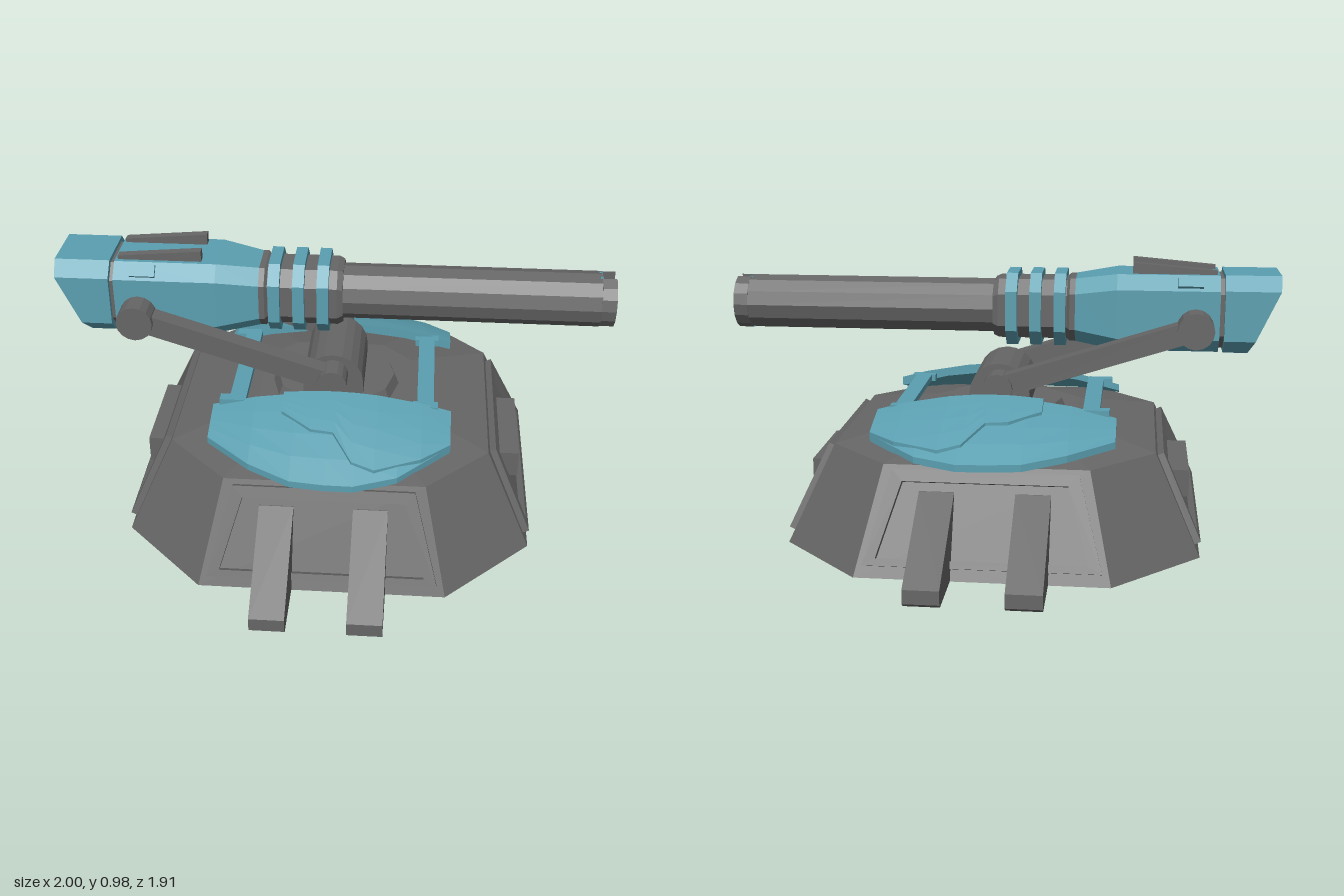
import * as THREE from 'three';

const grey = new THREE.MeshStandardMaterial({ color: 0x666666, flatShading: true });
const teal = new THREE.MeshStandardMaterial({ color: 0x5b9fb0, flatShading: true });

function add(parent, name, geometry, material, x = 0, y = 0, z = 0) {
  const mesh = new THREE.Mesh(geometry, material);
  mesh.name = name;
  mesh.position.set(x, y, z);
  parent.add(mesh);
  return mesh;
}

// Skin over a list of closed sections (each a loop of [x, y, z]), capped at both ends
function loft(sections) {
  const out = [];
  const tri = (a, b, c) => out.push(...a, ...b, ...c);
  const n = sections[0].length;
  for (let i = 0; i < sections.length - 1; i++) {
    for (let j = 0; j < n; j++) {
      const k = (j + 1) % n, p = sections[i], q = sections[i + 1];
      tri(p[j], p[k], q[k]);
      tri(p[j], q[k], q[j]);
    }
  }
  const first = sections[0], last = sections[sections.length - 1];
  for (let j = 1; j < n - 1; j++) {
    tri(first[0], first[j + 1], first[j]);
    tri(last[0], last[j], last[j + 1]);
  }
  const g = new THREE.BufferGeometry();
  g.setAttribute('position', new THREE.Float32BufferAttribute(out, 3));
  g.computeVertexNormals();
  return g;
}

// Chamfered rectangle with half sizes a, b and chamfer c
const octagon = (a, b, c) => [
  [a, c - b], [a, b - c], [a - c, b], [c - a, b],
  [-a, b - c], [-a, c - b], [c - a, -b], [a - c, -b],
];
const AXIS = 0.8; // height of the gun axis
const ySection = (y, a, c) => octagon(a, a, c).map(([z, x]) => [x, y, z]);
const xSection = (x, a, b, c) => octagon(a, b, c).map(([y, z]) => [x, AXIS + y, z]);

function polygon(points, hole) {
  const s = new THREE.Shape(points.map(p => new THREE.Vector2(...p)));
  if (hole) s.holes.push(new THREE.Path(hole.map(p => new THREE.Vector2(...p))));
  return s;
}
const extrude = (shape, depth) => new THREE.ExtrudeGeometry(shape, { depth, bevelEnabled: false });
const arc = (r, from, to, n) => Array.from({ length: n + 1 }, (_, i) => {
  const t = from + (to - from) * i / n;
  return [r * Math.cos(t), r * Math.sin(t)];
});
const zCylinder = (r, length, sides) => new THREE.CylinderGeometry(r, r, length, sides).rotateX(Math.PI / 2);

function buildBase() {
  const base = new THREE.Group();
  base.name = 'base';
  add(base, 'plinth', loft([
    ySection(0, 0.73, 0.3), ySection(0.35, 0.57, 0.22), ySection(0.41, 0.28, 0.11),
  ]), grey);

  // Raised frames on the four sloping sides
  const trapezoid = (b, t, lo, hi) => [[-b, lo], [b, lo], [t, hi], [-t, hi]];
  const frame = extrude(polygon(trapezoid(0.4, 0.315, 0.04, 0.365), trapezoid(0.355, 0.28, 0.065, 0.325)), 0.025);
  for (let i = 0; i < 4; i++) {
    const side = new THREE.Group();
    side.name = 'sidePanel';
    side.rotation.y = i * Math.PI / 2;
    add(side, 'panelFrame', frame, grey, 0, 0, 0.728).rotation.x = -Math.atan2(0.16, 0.35);
    base.add(side);
  }

  for (const s of [-1, 1]) {
    add(base, 'sideBlock', new THREE.BoxGeometry(0.09, 0.1, 0.38), grey, s * 0.65, 0.19, 0);
    // Wedge feet: profile in z and y, extruded across x
    for (const x of [-0.163, 0.163]) {
      const foot = extrude(polygon([[0.55, 0], [0.94, 0], [0.953, 0.012], [0.953, 0.06], [0.61, 0.27], [0.55, 0.27]]), 0.12);
      foot.translate(0, 0, -0.06).rotateY(-Math.PI / 2);
      const mesh = add(base, 'foot', foot, grey, x);
      mesh.scale.z = s;
    }
  }
  return base;
}

// Thin domed plate reaching from z = 0.25 to the given outline of [x, z]
function domePlate(outline, lift, thickness) {
  const dome = (x, z) => 0.538 + lift - 0.35 * x * x - 0.45 * z * z;
  const steps = 4;
  return loft(outline.map(([x, edge]) => {
    const top = Array.from({ length: steps + 1 }, (_, i) => {
      const z = 0.25 + (edge - 0.25) * i / steps;
      return [x, dome(x, z), z];
    });
    return [...top, ...top.map(([px, y, z]) => [px, y - thickness, z]).reverse()];
  }));
}

function buildTurntable() {
  const g = new THREE.Group();
  g.name = 'turntable';
  add(g, 'turntableDisc', new THREE.CylinderGeometry(0.22, 0.25, 0.07, 12), grey, 0, 0.415, 0);
  add(g, 'pivotDrum', zCylinder(0.11, 0.3, 20), grey, 0, 0.5, 0);
  add(g, 'pivotBlock', new THREE.BoxGeometry(0.22, 0.1, 0.3), grey, 0, 0.45, 0);

  const shield = domePlate([[-0.43, 0.4], [-0.27, 0.53], [-0.12, 0.6], [0, 0.612], [0.1, 0.61], [0.25, 0.56], [0.43, 0.4]], 0, 0.025);
  const overlay = domePlate([[-0.17, 0.34], [-0.06, 0.42], [0.02, 0.43], [0.09, 0.535], [0.17, 0.555], [0.33, 0.485], [0.432, 0.4]], 0.01, 0.03);
  for (const s of [-1, 1]) {
    add(g, 'shield', shield, teal).scale.z = s;
    add(g, 'shieldOverlay', overlay, teal).scale.z = s;
    add(g, 'shieldBridge', new THREE.BoxGeometry(0.06, 0.022, 0.5), teal, s * 0.34, 0.462, 0);
    for (const x of [-0.36, 0.34])
      add(g, 'bridgeTab', new THREE.BoxGeometry(0.09, 0.026, 0.04), teal, x, 0.46, s * 0.24);
  }
  return g;
}

function buildArms() {
  const g = new THREE.Group();
  g.name = 'liftArms';
  const dx = -0.7, dy = 0.225;
  for (const s of [-1, 1]) {
    const arm = add(g, 'arm', new THREE.BoxGeometry(Math.hypot(dx, dy), 0.075, 0.065), grey, dx / 2, 0.535 + dy / 2, s * 0.188);
    arm.rotation.z = Math.atan2(-dy, -dx) + Math.PI;
    add(g, 'lowerHub', zCylinder(0.055, 0.09, 16), grey, 0, 0.535, s * 0.193);
    add(g, 'upperHub', zCylinder(0.065, 0.1, 16), grey, dx, 0.76, s * 0.19);
  }
  return g;
}

function buildGun() {
  const g = new THREE.Group();
  g.name = 'gun';

  // Tapered receiver and the slanted, hollowed rear cap
  add(g, 'receiver', loft([
    xSection(-0.785, 0.138, 0.152, 0.05), xSection(-0.42, 0.138, 0.152, 0.05), xSection(-0.27, 0.115, 0.122, 0.05),
  ]), teal);
  add(g, 'receiverGap', loft([xSection(-0.82, 0.125, 0.135, 0.05), xSection(-0.76, 0.125, 0.135, 0.05)]), grey);
  const rear = (scale, inset) => xSection(0, 0.14 * scale, 0.152 * scale, 0.05 * scale)
    .map(([, y, z]) => [-1 + inset + 0.11 * Math.max(0, 0.9 - y) / 0.24, y, z]);
  add(g, 'rearCap', loft([rear(0.72, 0.03), rear(0.8, 0), rear(1, 0), xSection(-0.802, 0.14, 0.152, 0.05)]), teal);

  // Sighting rails and small chamfer plates
  for (const s of [-1, 1]) {
    const rail = extrude(polygon([[-0.775, 0.93], [-0.475, 0.93], [-0.475, 0.978], [-0.775, 0.952]]), 0.032);
    add(g, 'rail', rail, grey, 0, 0, s * 0.07 - 0.016);
    const plate = add(g, 'chamferPlate', new THREE.BoxGeometry(0.09, 0.02, 0.045), teal, -0.68, 0.914, s * 0.128);
    plate.rotation.x = s * Math.PI / 4;
  }

  // Ringed collar
  add(g, 'collar', loft([
    xSection(-0.28, 0.115, 0.122, 0.05), xSection(-0.25, 0.115, 0.122, 0.05),
    xSection(-0.24, 0.108, 0.112, 0.05), xSection(0.01, 0.108, 0.112, 0.05), xSection(0.03, 0.1, 0.105, 0.05),
  ]), grey);
  for (const x of [-0.215, -0.127, -0.04])
    add(g, 'collarRing', loft([xSection(x - 0.021, 0.132, 0.132, 0.06), xSection(x + 0.021, 0.132, 0.132, 0.06)]), teal);

  // Barrel with a bore and a muzzle split at top and bottom
  const R = 0.1, turn = Math.PI * 2;
  const tube = extrude(polygon(arc(R, 0, turn, 12).slice(0, -1), arc(0.035, 0, turn, 12).slice(0, -1)), 0.95);
  add(g, 'barrel', tube.rotateY(Math.PI / 2), grey, 0, AXIS, 0);
  for (const s of [-1, 1]) {
    const mid = s > 0 ? 0 : Math.PI, h = Math.PI / 2;
    const lip = polygon([
      ...arc(R, mid - h + 0.3, mid + h - 0.3, 6),
      ...arc(0.068, mid + h - 0.44, mid - h + 0.44, 6),
    ]);
    add(g, 'muzzleLip', extrude(lip, 0.052).rotateY(Math.PI / 2), grey, 0.948, AXIS, 0);
    add(g, 'muzzleInsert', new THREE.BoxGeometry(0.01, 0.035, 0.055), teal, 0.947, AXIS + s * 0.078, 0);
  }
  add(g, 'boreEnd', new THREE.CylinderGeometry(0.04, 0.04, 0.02, 12).rotateZ(Math.PI / 2), grey, 0.8, AXIS, 0);
  return g;
}

export function createModel() {
  const model = new THREE.Group();
  model.name = 'turret';
  model.add(buildBase(), buildTurntable(), buildArms(), buildGun());
  return model;
}
